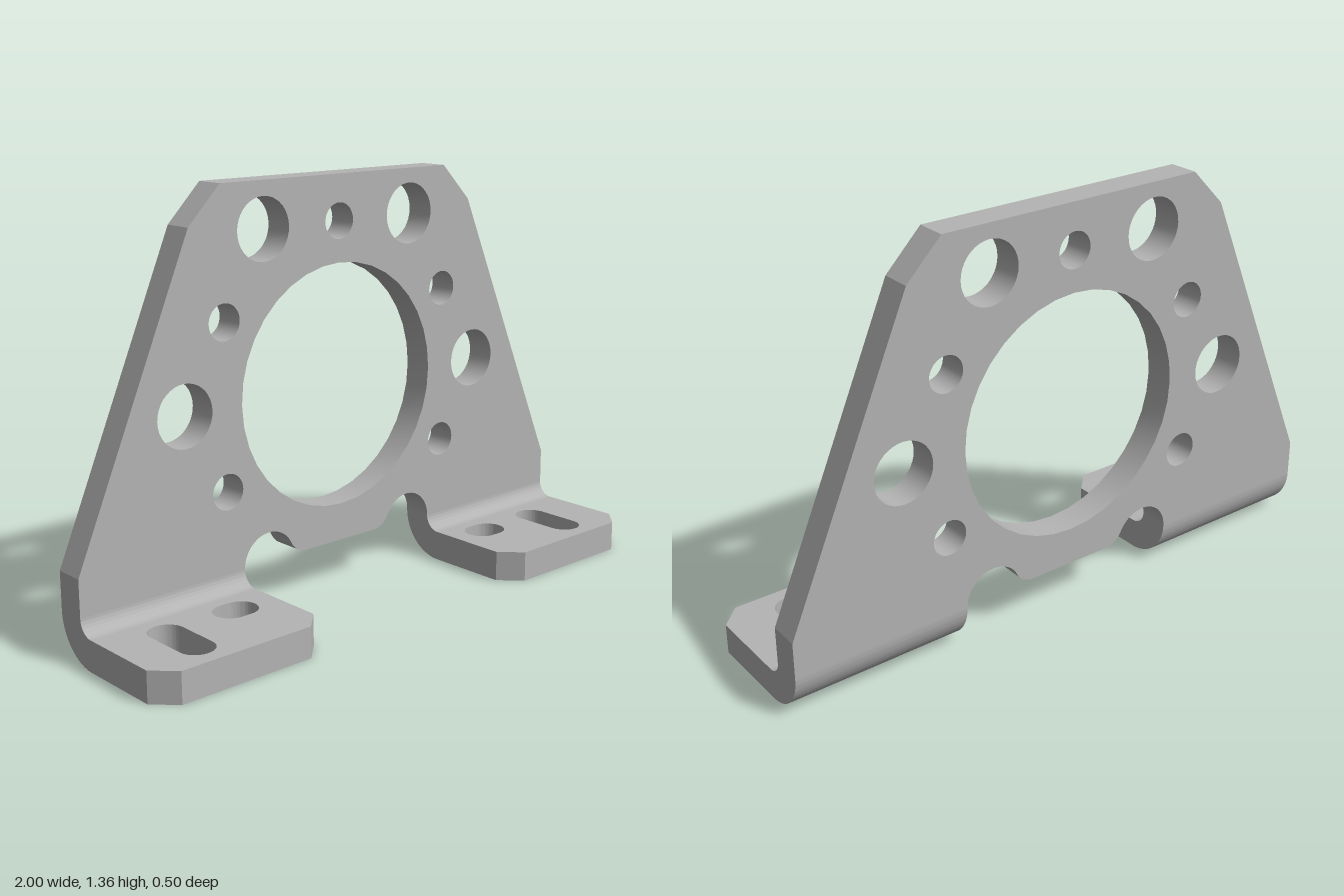
import * as THREE from 'three';
import { toCreasedNormals } from 'three/addons/utils/BufferGeometryUtils.js';

const T = 0.1;            // sheet thickness
const INNER = 0.402;      // inner edge of the feet
const BEND_Y = 0.15, BEND_Z = -0.1; // bend axis

const steel = new THREE.MeshStandardMaterial({ color: 0xb4b4b4 });
steel.name = 'plain grey steel';

function extrude(shape, depth) {
  return new THREE.ExtrudeGeometry(shape, { depth, bevelEnabled: false, curveSegments: 18 });
}

function part(name, geometry) {
  const mesh = new THREE.Mesh(toCreasedNormals(geometry, 0.3), steel);
  mesh.name = name;
  return mesh;
}

function circle(x, y, r) {
  return new THREE.Path().absarc(x, y, r, 0, Math.PI * 2, false);
}

// Rounded slot of half width hx and half height hy
function slot(x, y, hx, hy) {
  const r = Math.min(hx, hy), dx = hx - r, dy = hy - r, p = new THREE.Path();
  if (dy > dx) {
    p.absarc(x, y + dy, r, 0, Math.PI, false);
    p.absarc(x, y - dy, r, Math.PI, Math.PI * 2, false);
  } else {
    p.absarc(x + dx, y, r, -Math.PI / 2, Math.PI / 2, false);
    p.absarc(x - dx, y, r, Math.PI / 2, Math.PI * 1.5, false);
  }
  p.closePath();
  return p;
}

// Upright plate with relief notches and mounting holes
function uprightPlate() {
  const PI = Math.PI, rn = 0.1, rf = 0.07, nx = INNER - rn, bottom = 0.155;
  const dy = bottom + rf - BEND_Y;
  const a = Math.asin(dy / (rn + rf));
  const fx = nx - (rn + rf) * Math.cos(a);
  const s = new THREE.Shape();
  s.moveTo(-1, BEND_Y);
  s.lineTo(-INNER, BEND_Y);
  s.absarc(-nx, BEND_Y, rn, PI, a, true);
  s.absarc(-fx, bottom + rf, rf, PI + a, PI * 1.5, false);
  s.absarc(fx, bottom + rf, rf, PI * 1.5, PI * 2 - a, false);
  s.absarc(nx, BEND_Y, rn, PI - a, 0, true);
  for (const [x, y] of [[1, BEND_Y], [1, 0.27], [0.583, 1.24], [0.465, 1.36],
    [-0.465, 1.36], [-0.583, 1.24], [-1, 0.27]]) s.lineTo(x, y);
  s.closePath();

  s.holes.push(circle(0, 0.68, 0.4), circle(0, 1.212, 0.058));
  for (const side of [-1, 1]) {
    s.holes.push(
      circle(side * 0.612, 0.682, 0.1),
      circle(side * 0.305, 1.212, 0.1),
      circle(side * 0.46, 0.946, 0.058),
      circle(side * 0.46, 0.416, 0.058));
  }
  return part('uprightPlate', extrude(s, T).translate(0, 0, -0.25));
}

// Horizontal foot with chamfered front corners and two slots (shape y is -z)
function foot(side, longX, shortX) {
  const s = new THREE.Shape([[INNER, 0.1], [INNER, -0.18], [0.47, -0.248],
    [0.932, -0.248], [1, -0.18], [1, 0.1]].map(([x, y]) => new THREE.Vector2(side * x, y)));
  s.holes.push(slot(side * longX, -0.07, 0.057, 0.13), slot(side * shortX, 0.004, 0.074, 0.057));
  return part('footPad', extrude(s, T).rotateX(-Math.PI / 2));
}

// Quarter-round bend joining foot and plate
function bend(side) {
  const s = new THREE.Shape();
  s.absarc(BEND_Z, BEND_Y, 0.15, Math.PI, Math.PI * 1.5, false);
  s.absarc(BEND_Z, BEND_Y, 0.05, Math.PI * 1.5, Math.PI, true);
  s.closePath();
  const g = extrude(s, 1 - INNER).rotateY(-Math.PI / 2);
  return part('footBend', g.translate(side > 0 ? 1 : -INNER, 0, 0));
}

export function createModel() {
  const model = new THREE.Group();
  model.name = 'mountingBracket';
  model.add(uprightPlate());
  for (const [name, side, longX, shortX] of [['leftFoot', 1, 0.786, 0.54], ['rightFoot', -1, 0.805, 0.553]]) {
    const group = new THREE.Group();
    group.name = name;
    group.add(foot(side, longX, shortX), bend(side));
    model.add(group);
  }
  return model;
}
